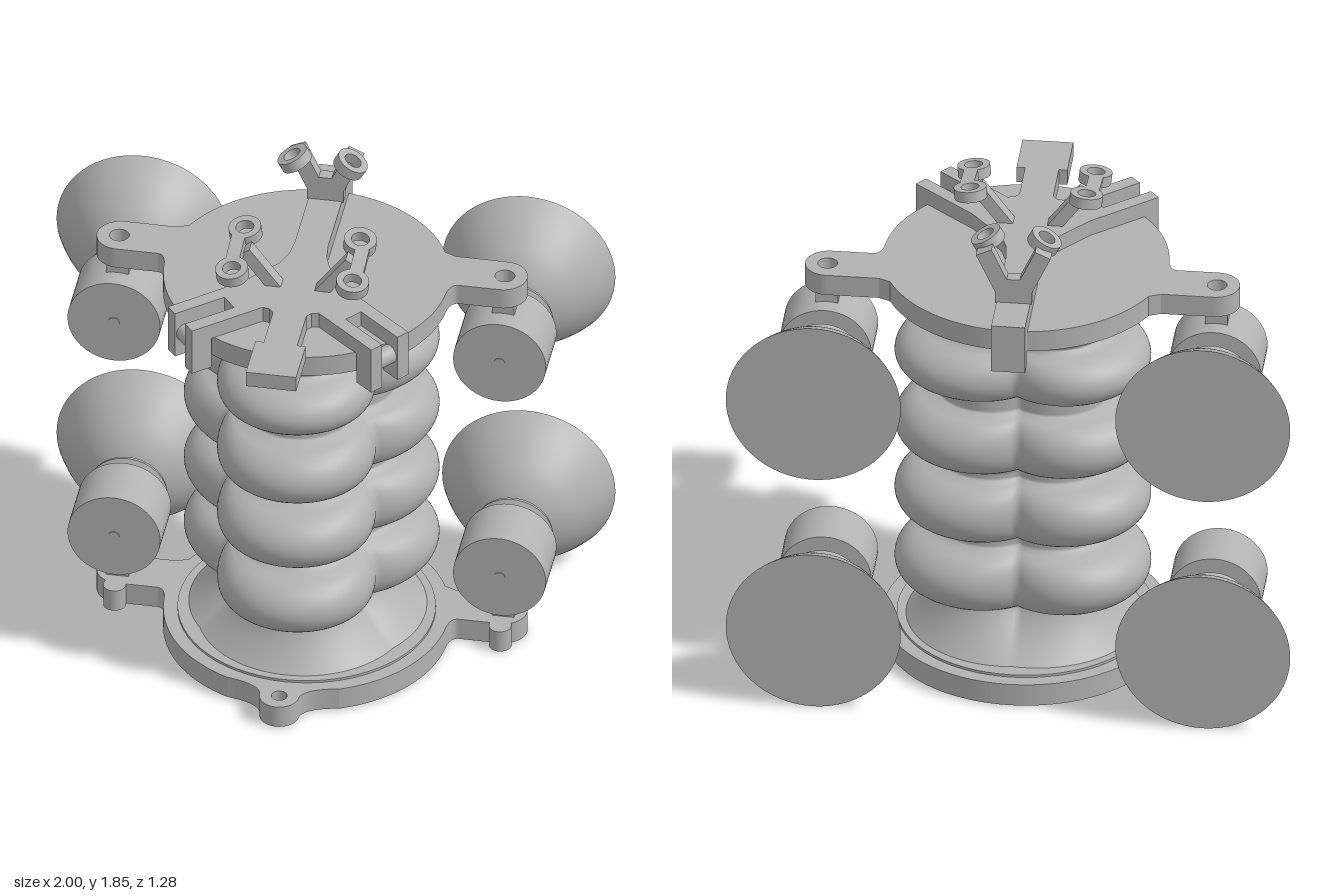
import * as THREE from 'three';

const grey = new THREE.MeshStandardMaterial({ color: 0xb2b2b2 });
grey.name = 'plain grey';
const AXIS_Z = -0.065; // centre of the discs and the bellows
const RAD = Math.PI / 180;

function add(parent, name, geo, x = 0, y = 0, z = 0) {
  const m = new THREE.Mesh(geo, grey);
  m.name = name;
  m.position.set(x, y, z);
  parent.add(m);
  return m;
}

const box = (w, h, d) => new THREE.BoxGeometry(w, h, d);

// Shape drawn in (x, -z), raised from y = 0 to y = height
function slab(shape, height) {
  return new THREE.ExtrudeGeometry(shape, { depth: height, bevelEnabled: false, curveSegments: 32 }).rotateX(-Math.PI / 2);
}

function hole(shape, x, y, r) {
  const p = new THREE.Path();
  p.absarc(x, y, r, 0, Math.PI * 2, true);
  shape.holes.push(p);
}

// Square beam between two points
function beam(parent, name, a, b, w, d) {
  const from = new THREE.Vector3(...a), to = new THREE.Vector3(...b);
  const m = add(parent, name, box(w, from.distanceTo(to), d));
  m.position.copy(from).lerp(to, 0.5);
  m.quaternion.setFromUnitVectors(new THREE.Vector3(0, 1, 0), to.sub(from).normalize());
}

// Disc with two side arms and an optional front lug
function plateShape(lug) {
  const s = new THREE.Shape(), R = 0.505, c = -AXIS_Z;
  const a = lug ? Math.asin(0.2 / R) : 0;
  s.absarc(0, c, R, -Math.PI / 2 + a, -4 * RAD, false);
  s.quadraticCurveTo(0.51, 0.09, 0.54, 0.09);
  s.absarc(0.685, 0.175, 0.085, -Math.PI / 2, Math.PI / 2, false);
  s.lineTo(0.5, 0.26);
  s.absarc(0, c, R, 25 * RAD, 155 * RAD, false);
  s.lineTo(-0.5, 0.26);
  s.absarc(-0.685, 0.175, 0.085, Math.PI / 2, Math.PI * 1.5, false);
  s.lineTo(-0.54, 0.09);
  s.quadraticCurveTo(-0.51, 0.09, -R * Math.cos(4 * RAD), c - R * Math.sin(4 * RAD));
  s.absarc(0, c, R, 184 * RAD, Math.PI * 1.5 - a, false);
  if (lug) {
    s.quadraticCurveTo(-0.08, -0.42, -0.07, -0.475);
    s.absarc(0, -0.475, 0.07, Math.PI, Math.PI * 2, false);
    s.quadraticCurveTo(0.08, -0.42, 0.2, c - R * Math.cos(a));
    hole(s, 0, -0.475, 0.028);
    for (const t of [30, 150, 270]) hole(s, 0.25 * Math.cos(t * RAD), c + 0.25 * Math.sin(t * RAD), 0.013);
  }
  for (const k of [-1, 1]) hole(s, k * 0.69, 0.175, 0.035);
  return s;
}

// Three-lobed bellows with four bulges, flared at both ends
function bellowsGeometry() {
  const levels = [[0.38, 0.115], [0.66, 0.115], [0.94, 0.115], [1.225, 0.1]];
  const rows = 120, cols = 120, y0 = 0.09, y1 = 1.47, pos = [], idx = [];
  for (let j = 0; j <= rows; j++) {
    const y = y0 + (y1 - y0) * j / rows;
    let b = 0;
    for (const [yc, h] of levels) b = Math.max(b, Math.sqrt(Math.max(0, 1 - ((y - yc) / h) ** 2)));
    let c = 0.13 + 0.07 * b, R = 0.2 + 0.08 * b;
    const low = Math.max(0, (0.27 - y) / 0.18) ** 1.5, high = Math.max(0, (y - 1.32) / 0.15);
    c += (0.04 - c) * low;
    R += (0.4 - R) * low;
    c += (0.02 - c) * high;
    R += (0.38 - R) * high;
    for (let i = 0; i < cols; i++) {
      const a = i / cols * Math.PI * 2;
      const d = ((a / RAD + 60) % 120 - 60) * RAD;
      const r = c * Math.cos(d) + Math.sqrt(R * R - (c * Math.sin(d)) ** 2);
      pos.push(r * Math.sin(a), y, AXIS_Z + r * Math.cos(a));
      if (j < rows) {
        const p = j * cols + i, q = j * cols + (i + 1) % cols;
        idx.push(p, q, q + cols, p, q + cols, p + cols);
      }
    }
  }
  const g = new THREE.BufferGeometry();
  g.setAttribute('position', new THREE.Float32BufferAttribute(pos, 3));
  g.setIndex(idx);
  g.computeVertexNormals();
  return g;
}

// Round section along z from zFront (radius rf) to zBack (radius rb)
function section(parent, name, zFront, zBack, rf, rb) {
  add(parent, name, new THREE.CylinderGeometry(rb, rf, zFront - zBack, 48).rotateX(-Math.PI / 2), 0, 0, (zFront + zBack) / 2);
}

function suctionUnit(x, y, up) {
  const g = new THREE.Group();
  g.name = 'suctionUnit';
  g.position.set(x, y, 0);
  section(g, 'housing', -0.065, -0.278, 0.166, 0.166);
  section(g, 'housingHub', -0.062, -0.07, 0.02, 0.02);
  section(g, 'neckCollar', -0.27, -0.31, 0.1, 0.1);
  section(g, 'neckRidgeFront', -0.305, -0.335, 0.09, 0.145);
  section(g, 'neckRidgeMiddle', -0.335, -0.352, 0.145, 0.14);
  section(g, 'neckRidgeBack', -0.352, -0.385, 0.14, 0.085);
  section(g, 'neckEnd', -0.38, -0.41, 0.1, 0.1);
  const curve = new THREE.SplineCurve([[0.09, 0.39], [0.125, 0.405], [0.18, 0.445], [0.225, 0.495],
    [0.262, 0.547], [0.29, 0.6], [0.31, 0.645]].map(p => new THREE.Vector2(...p)));
  add(g, 'cup', new THREE.LatheGeometry(curve.getPoints(24), 64).rotateX(-Math.PI / 2));
  add(g, 'cupFace', new THREE.CircleGeometry(0.31, 64).rotateY(Math.PI), 0, 0, -0.645);
  add(g, 'mountPost', box(0.08, 0.1, 0.08), 0, up * 0.19, -0.175);
  return g;
}

function ringGeometry() {
  const s = new THREE.Shape();
  s.absarc(0, 0, 0.058, 0, Math.PI * 2, false);
  hole(s, 0, 0, 0.032);
  return slab(s, 0.04).translate(0, -0.02, 0);
}

// Bracket plate with a spine, a front tab and two forked diagonal arms
function bracketShape() {
  const along = (t, w) => [0.766 * t + 0.643 * w, 0.05 + 0.643 * t - 0.766 * w];
  const half = [[0.06, -0.64], [0.06, -0.16], [0.068, -0.09], [0.09, -0.03], [0.13, 0.02], along(0.2, 0.085),
    along(0.49, 0.085), along(0.49, 0.035), along(0.29, 0.035), along(0.29, -0.035), along(0.49, -0.035),
    along(0.49, -0.085), along(0.24, -0.085), [0.1, 0.245], [0.075, 0.25], [0.06, 0.27], [0.06, 0.45], [0.09, 0.45], [0.09, 0.64]];
  const other = half.map(([x, z]) => [-x, z]).reverse();
  return new THREE.Shape([...half, ...other].map(([x, z]) => new THREE.Vector2(x, -z)));
}

export function createModel() {
  const model = new THREE.Group();
  model.name = 'bellowsClimber';

  add(model, 'basePlate', slab(plateShape(true), 0.085), 0, 0.01, 0);
  add(model, 'baseRim', new THREE.CylinderGeometry(0.455, 0.455, 0.015, 64), 0, 0.097, AXIS_Z);
  add(model, 'bellows', bellowsGeometry());
  add(model, 'topPlate', slab(plateShape(false), 0.08), 0, 1.465, 0);
  add(model, 'bracketPlate', slab(bracketShape(), 0.06), 0, 1.545, 0);
  add(model, 'rearHook', box(0.12, 0.185, 0.065), 0, 1.512, -0.608);

  for (const k of [-1, 1]) {
    for (const [y, up] of [[0.315, -1], [1.245, 1]]) model.add(suctionUnit(k * 0.69, y, up));
    add(model, 'baseArmLug', slab(new THREE.Shape().absarc(0, 0, 0.04, 0, Math.PI * 2), 0.085), k * 0.69, 0.01, -0.08);

    // Forked clip gripping the rim of the top plate
    const clip = new THREE.Group();
    clip.name = 'rimClip';
    clip.position.set(0, 1.5125, 0.05);
    clip.rotation.y = k * 50 * RAD;
    for (const w of [-0.06, 0.06]) add(clip, 'prong', box(0.05, 0.185, 0.08), w, 0, 0.45);
    add(clip, 'clipPin', new THREE.CylinderGeometry(0.035, 0.035, 0.13, 24).rotateZ(Math.PI / 2), 0, 0, 0.45);
    model.add(clip);

    // Front guide: leaning stalk carrying a link with a ring at each end
    beam(model, 'guideStalk', [k * 0.07, 1.58, 0.09], [k * 0.19, 1.74, 0.09], 0.045, 0.05);
    const link = new THREE.Group();
    link.name = 'frontGuide';
    link.position.set(k * 0.21, 1.742, 0.115);
    link.rotation.set(0.15, 0, -k * 0.1);
    add(link, 'ring', ringGeometry(), -k * 0.005, 0, -0.105);
    add(link, 'ring', ringGeometry(), k * 0.005, 0, 0.105);
    add(link, 'linkBar', box(0.05, 0.04, 0.12), k * 0.01, 0, 0);
    model.add(link);

    // Rear guide: one branch of the V post with a tilted ring
    beam(model, 'rearPost', [k * 0.01, 1.6, -0.453], [k * 0.105, 1.805, -0.453], 0.06, 0.045);
    const rear = add(model, 'rearRing', ringGeometry(), k * 0.1, 1.808, -0.38);
    rear.rotation.z = -k * 0.5;
  }
  add(model, 'rearPostFoot', box(0.13, 0.1, 0.045), 0, 1.65, -0.453);
  return model;
}
